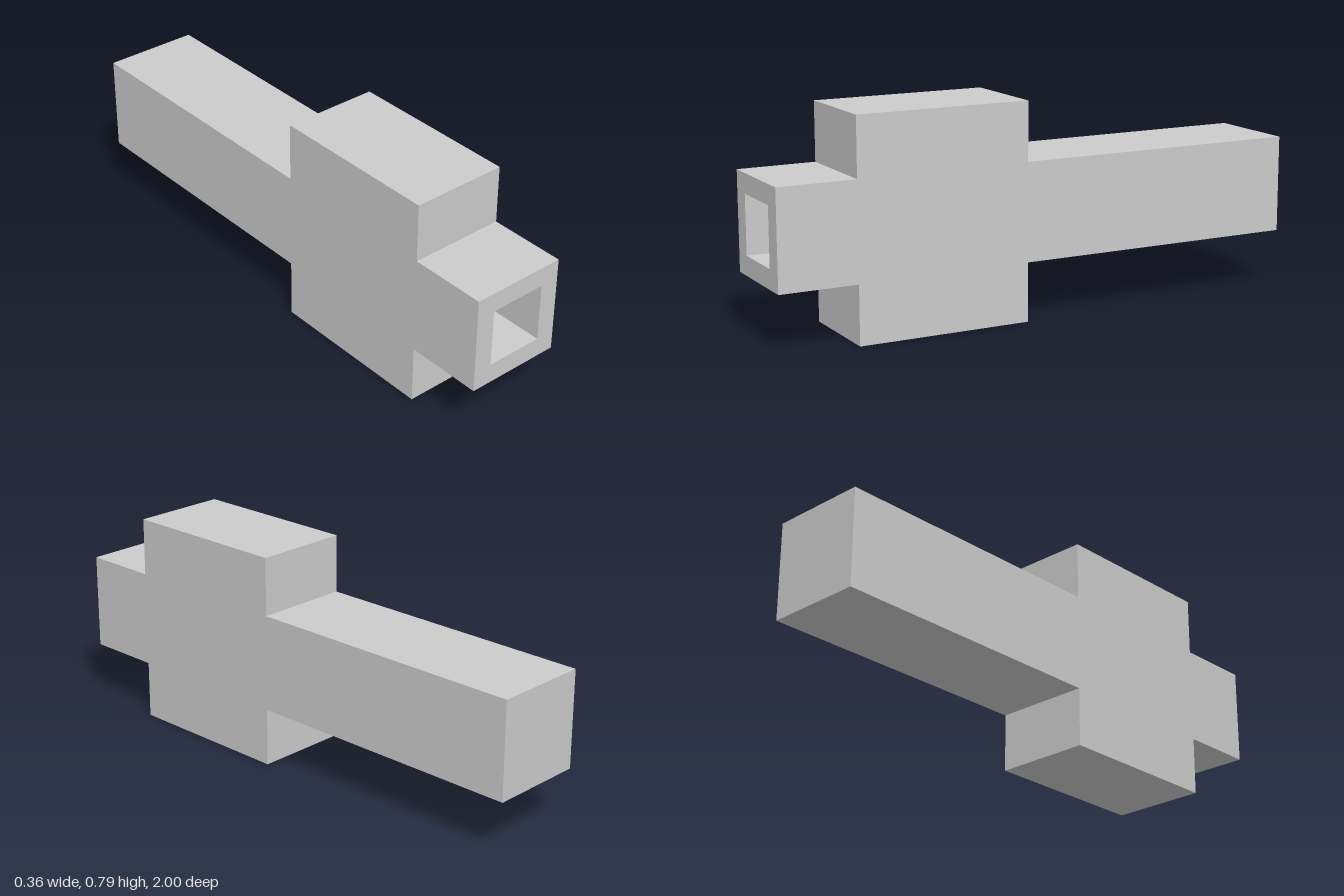
import * as THREE from 'three';

const U = 2 / 56; // one grid unit; the model is 56 units long
const material = new THREE.MeshStandardMaterial({ color: 0xcccccc, flatShading: true });

// Axis-aligned box given by its extents in grid units
function block(name, [x0, x1], [y0, y1], [z0, z1]) {
  const geometry = new THREE.BoxGeometry((x1 - x0) * U, (y1 - y0) * U, (z1 - z0) * U);
  geometry.translate((x0 + x1) / 2 * U, (y0 + y1) / 2 * U, (z0 + z1) / 2 * U);
  const mesh = new THREE.Mesh(geometry, material);
  mesh.name = name;
  return mesh;
}

// Square outline around the bore axis
function square(half, Type) {
  const h = half * U;
  return new Type([[-h, -h], [h, -h], [h, h], [-h, h]].map(([x, y]) => new THREE.Vector2(x, y)));
}

export function createModel() {
  const group = new THREE.Group();
  group.name = 'hollowHandle';
  const back = -28, capFront = -26, front = 28, axisY = 11;

  // Square tube, open at the front
  const section = square(5, THREE.Shape);
  section.holes.push(square(3, THREE.Path));
  const tube = new THREE.Mesh(
    new THREE.ExtrudeGeometry(section, { depth: (front - capFront) * U, bevelEnabled: false }),
    material
  );
  tube.name = 'handleTube';
  tube.position.set(0, axisY * U, capFront * U);
  group.add(tube);

  // Closed rear end
  group.add(block('endCap', [-5, 5], [6, 16], [back, capFront]));

  // Guard blocks above and below the tube
  group.add(block('upperGuard', [-5, 5], [16, 22], [2, 20]));
  group.add(block('lowerGuard', [-5, 5], [0, 6], [2, 20]));

  // Thin full-height blade recessed inside the bore
  group.add(block('innerBlade', [-0.5, 0.5], [8, 14], [capFront, 20]));

  return group;
}
